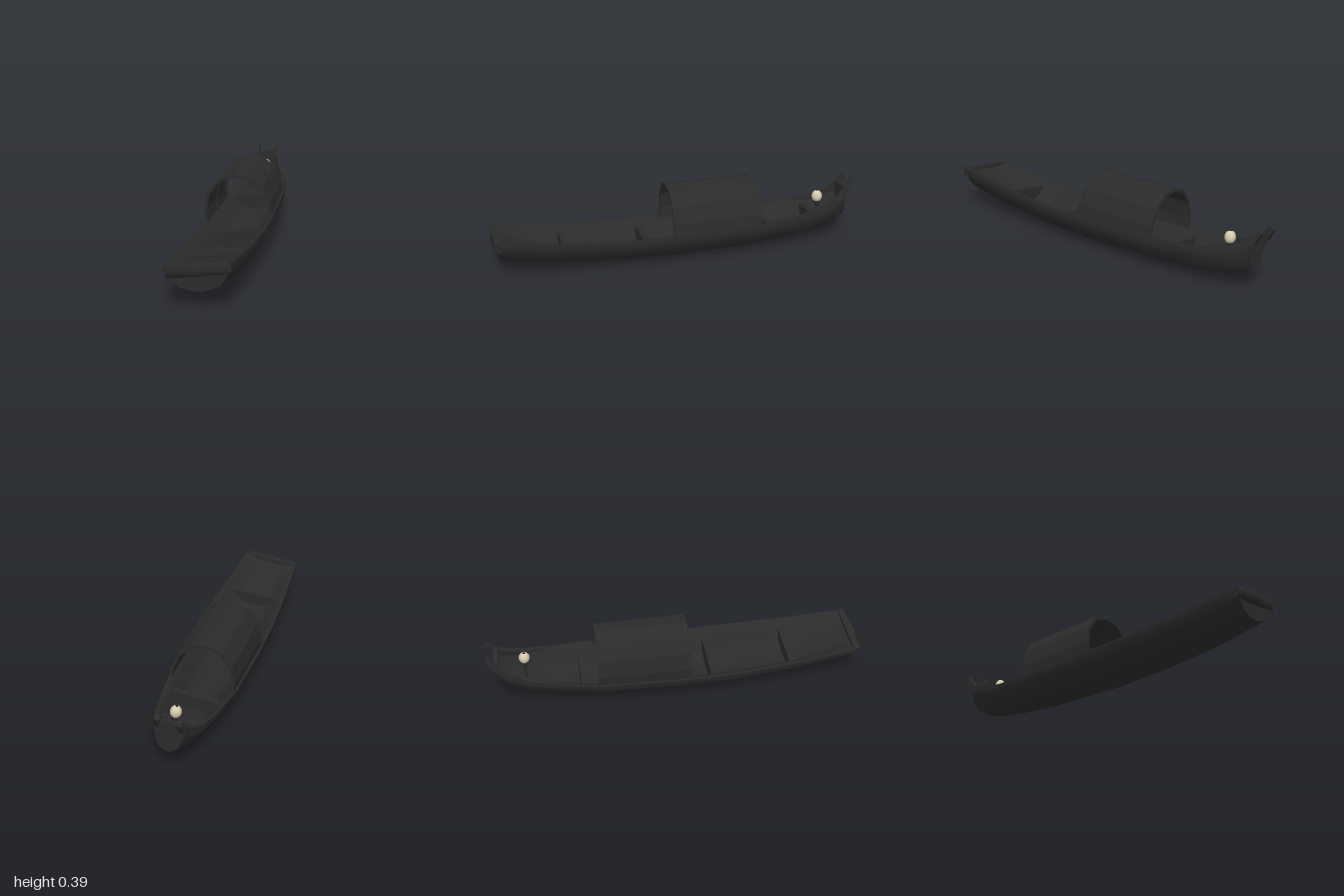
import * as THREE from 'three';
import { toCreasedNormals } from 'three/addons/utils/BufferGeometryUtils.js';

const wood = new THREE.MeshStandardMaterial({ color: 0x2c2b2b, side: THREE.DoubleSide });
wood.name = 'dark wood';
const cream = new THREE.MeshStandardMaterial({ color: 0xd6cbb0 });
cream.name = 'cream lantern';

// Hull stations: z, half width, rail height, keel height, inner floor height
const stations = [
  [-0.950, 0.078, 0.288, 0.118, 0.165],
  [-0.900, 0.097, 0.248, 0.085, 0.130],
  [-0.800, 0.121, 0.208, 0.050, 0.100],
  [-0.650, 0.146, 0.180, 0.030, 0.075],
  [-0.400, 0.178, 0.163, 0.010, 0.050],
  [0.000, 0.191, 0.158, 0.000, 0.040],
  [0.300, 0.193, 0.163, 0.008, 0.045],
  [0.650, 0.178, 0.182, 0.034, 0.085],
  [0.900, 0.162, 0.207, 0.068, 0.165],
  [0.983, 0.156, 0.218, 0.083, 0.203],
];

// Half sections as fractions of width and depth, from the rail to the keel
const mirrored = (half) => [...half.map(([x, y]) => [-x, y]), ...half.slice(0, -1).reverse()];
const outerProfile = mirrored([[1, 1], [1, 0.78], [0.84, 0.52], [0.62, 0.2], [0.3, 0.06], [0, 0]]);
const innerProfile = mirrored([[0.94, 1], [0.85, 0.88], [0.74, 0.75], [0.58, 0.28], [0.38, 0.05], [0, 0]]);

function stationAt(z) {
  let i = 0;
  while (i < stations.length - 2 && stations[i + 1][0] < z) i++;
  const a = stations[i], b = stations[i + 1];
  const t = (z - a[0]) / (b[0] - a[0]);
  return a.map((v, k) => v + (b[k] - v) * t);
}

// Points of a section from left to right; the ends of the hull rake inward below
function section(profile, z, half, top, bottom) {
  const rake = z < -0.945 ? 0.02 : z > 0.95 ? -0.022 : 0;
  return profile.map(([x, y]) => [x * half, bottom + (top - bottom) * y, z + rake * (1 - y)]);
}

// Skin closed rings; each end is capped by pairing the first half with the second
function loft(rings, crease = 0.6) {
  const n = rings[0].length, index = [];
  const quad = (a, b, c, d) => index.push(a, b, c, a, c, d);
  for (let i = 0; i < rings.length - 1; i++) {
    for (let j = 0; j < n; j++) {
      const k = (j + 1) % n;
      quad(i * n + j, i * n + k, (i + 1) * n + k, (i + 1) * n + j);
    }
  }
  const last = (rings.length - 1) * n;
  for (let j = 0; j < n / 2 - 1; j++) {
    quad(n - 1 - j, n - 2 - j, j + 1, j);
    quad(last + j, last + j + 1, last + n - 2 - j, last + n - 1 - j);
  }
  const g = new THREE.BufferGeometry();
  g.setAttribute('position', new THREE.Float32BufferAttribute(rings.flat(2), 3));
  g.setIndex(index);
  return toCreasedNormals(g, crease);
}

// Upright plate across the boat, with a level top and a lower edge along a profile
function crossPlate(profile, z, thick, half, top, bottom, plateTop) {
  return loft([-thick / 2, thick / 2].map((dz) => {
    const low = section(profile, z, half, top, bottom)
      .map(([x, y]) => [x, Math.min(y, plateTop), z + dz]);
    return [...low, ...low.map(([x, , pz]) => [x, plateTop, pz]).reverse()];
  }));
}

export function createModel() {
  const boat = new THREE.Group();
  boat.name = 'boat';
  const add = (name, geometry, material = wood, x = 0, y = 0, z = 0) => {
    const mesh = new THREE.Mesh(geometry, material);
    mesh.name = name;
    mesh.position.set(x, y, z);
    boat.add(mesh);
  };

  // Hull shell, outside and inside
  add('hull', loft(stations.map(([z, half, top, keel, floor]) => [
    ...section(outerProfile, z, half, top, keel),
    ...section(innerProfile, z, half, top, floor).reverse(),
  ]), 0.9));

  // Upturned stern horns: half width, then z and y of the upper and lower edge
  const hornLine = [
    [0.066, -0.980, 0.337, -0.999, 0.318],
    [0.073, -0.945, 0.292, -0.970, 0.262],
    [0.097, -0.900, 0.251, -0.905, 0.212],
    [0.121, -0.800, 0.211, -0.800, 0.175],
    [0.146, -0.650, 0.181, -0.650, 0.155],
  ];
  for (const side of [-1, 1]) {
    add(side > 0 ? 'leftHorn' : 'rightHorn', loft(hornLine.map(([half, zt, yt, zb, yb], i) => {
      const width = i < 4 ? 0.026 : 0.008;
      const edges = [side * (half + 0.001), side * (half - width)];
      const a = Math.min(...edges), b = Math.max(...edges);
      return [[a, yb, zb], [b, yb, zb], [b, yt, zt], [a, yt, zt]];
    })));
  }

  // Slightly bowed lip closing the front
  add('bowLip', loft([[-0.156, 0.983], [0, 0.997], [0.156, 0.983]].map(([x, z]) =>
    [[x, 0.165, 0.95], [x, 0.219, 0.95], [x, 0.219, z - 0.004], [x, 0.205, z], [x, 0.18, z],
      [x, 0.165, z - 0.012]]), 1.2));

  // Transom panel and the bar between the horns
  add('transom', crossPlate(outerProfile, -0.942, 0.014, 0.08, 0.288, 0.117, 0.28));
  add('sternBar', new THREE.BoxGeometry(0.125, 0.024, 0.024), wood, 0, 0.284, -0.947);

  // Cross frames that serve as seats
  for (const z of [0.62, 0.19, -0.5, -0.75]) {
    const [, half, top, , floor] = stationAt(z);
    add('crossSeat', crossPlate(innerProfile, z, 0.032, half, top, floor - 0.004, top - 0.03));
  }

  // Arched canopy with three hoops
  const halfArch = [[0.173, 0.13], [0.173, 0.22], [0.144, 0.31], [0.08, 0.376]];
  const arch = [...halfArch, [0, 0.395], ...halfArch.map(([x, y]) => [-x, y]).reverse()];
  const archRing = (z, grow, shrink) => {
    const width = 1.0 + 0.14 * (z + 0.19);
    const scaled = (d) => arch.map(([x, y]) => {
      const r = Math.hypot(x, y - 0.15);
      return [x * width * (1 + d / r), y + (y - 0.15) * d / r, z];
    });
    return [...scaled(grow), ...scaled(-shrink).reverse()];
  };
  add('canopy', loft([archRing(-0.43, 0, 0.009), archRing(0.055, 0, 0.009)], 0.3));
  for (const z of [-0.418, -0.19, 0.043]) {
    add('canopyHoop', loft([archRing(z - 0.012, 0.003, 0.014), archRing(z + 0.012, 0.003, 0.014)], 0.3));
  }

  // Lantern on a short post at the stern
  const cupProfile = [[0, 0.188], [0.01, 0.188], [0.017, 0.198], [0.017, 0.214], [0, 0.214]];
  const cup = new THREE.LatheGeometry(cupProfile.map((p) => new THREE.Vector2(...p)), 12);
  add('lanternPost', new THREE.CylinderGeometry(0.006, 0.008, 0.1, 8), wood, 0.018, 0.145, -0.8);
  add('lanternCup', toCreasedNormals(cup, 0.7), wood, 0.018, 0, -0.8);
  const globe = new THREE.SphereGeometry(0.027, 24, 14);
  const p = globe.attributes.position;
  for (let i = 0; i < p.count; i++) {
    // Alternating ridges give the globe its frayed outline
    const k = (i % 25 + Math.floor(i / 25)) % 2 ? 0.96 : 1.08;
    p.setXYZ(i, p.getX(i) * k, p.getY(i) * 1.2, p.getZ(i) * k);
  }
  globe.computeVertexNormals();
  add('lanternGlobe', globe, cream, 0.018, 0.243, -0.8);
  add('lanternCap', new THREE.CylinderGeometry(0.007, 0.007, 0.006, 10), wood, 0.018, 0.274, -0.8);

  // The boat heels and lies slightly askew
  boat.rotation.set(0, 0.125, 0.14, 'YXZ');
  const model = new THREE.Group();
  model.name = 'woodenBoat';
  model.add(boat);
  return model;
}
